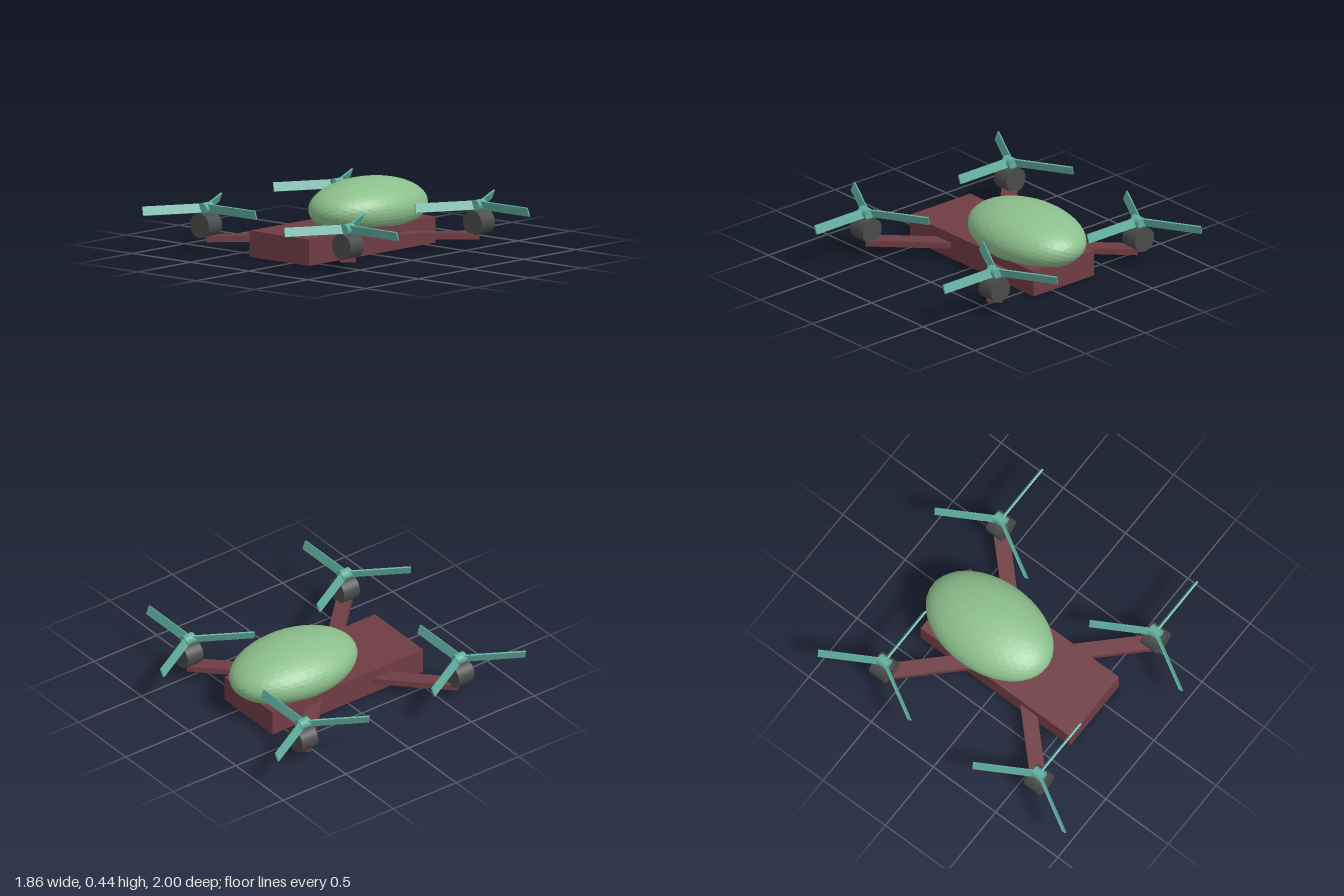
import * as THREE from 'three';

const paint = (color, flatShading = false) => new THREE.MeshStandardMaterial({ color, flatShading });

export function createModel() {
  const model = new THREE.Group();
  const maroon = paint(0x703c44);
  const green = paint(0x8cbf8c, true);
  const teal = paint(0x5fae9f);
  const dark = paint(0x4a4a4a);
  const centerX = -0.1;

  const add = (parent, name, geometry, material, x, y, z) => {
    const mesh = new THREE.Mesh(geometry, material);
    mesh.name = name;
    mesh.position.set(x, y, z);
    parent.add(mesh);
    return mesh;
  };

  // Box body with a faceted egg-shaped canopy towards the rear
  add(model, 'body', new THREE.BoxGeometry(0.51, 0.17, 1.2), maroon, centerX, 0.085, 0);
  const shell = new THREE.IcosahedronGeometry(1, 7);
  shell.scale(0.305, 0.184, 0.458);
  add(model, 'canopy', shell, green, centerX, 0.256, -0.243);

  const armLength = 0.64;
  const armGeometry = new THREE.BoxGeometry(armLength, 0.04, 0.1);
  armGeometry.translate(-armLength / 2, 0, 0); // outer end at the origin
  const motorGeometry = new THREE.CylinderGeometry(0.08, 0.08, 0.125, 32);
  motorGeometry.rotateX(Math.PI / 2);
  const hubGeometry = new THREE.CylinderGeometry(0.036, 0.036, 0.078, 16);
  hubGeometry.rotateX(Math.PI / 2);

  // Pitched blade reaching out from the hub centre
  const bladeGeometry = new THREE.BoxGeometry(0.425, 0.06, 0.011);
  bladeGeometry.rotateX(0.35);
  bladeGeometry.translate(0.2125, 0, 0);

  // Four diagonal arms, each with a motor and a three-bladed propeller
  for (const sx of [-1, 1]) {
    for (const sz of [-1, 1]) {
      const rotor = new THREE.Group();
      rotor.name = (sz > 0 ? 'front' : 'rear') + (sx > 0 ? 'Left' : 'Right') + 'Rotor';
      rotor.position.set(centerX + sx * 0.607, 0, sz * 0.622);
      model.add(rotor);

      const arm = add(rotor, 'arm', armGeometry, maroon, 0, 0.086, 0);
      arm.rotation.y = Math.atan2(-sz, sx);
      add(rotor, 'motor', motorGeometry, dark, 0, 0.172, 0);

      const propeller = new THREE.Group();
      propeller.name = 'propeller';
      propeller.position.y = 0.28;
      rotor.add(propeller);
      add(propeller, 'hub', hubGeometry, teal, 0, 0, 0);
      for (let i = 0; i < 3; i++) {
        add(propeller, 'blade', bladeGeometry, teal, 0, 0, 0).rotation.y = (i * Math.PI * 2) / 3;
      }
    }
  }
  return model;
}
